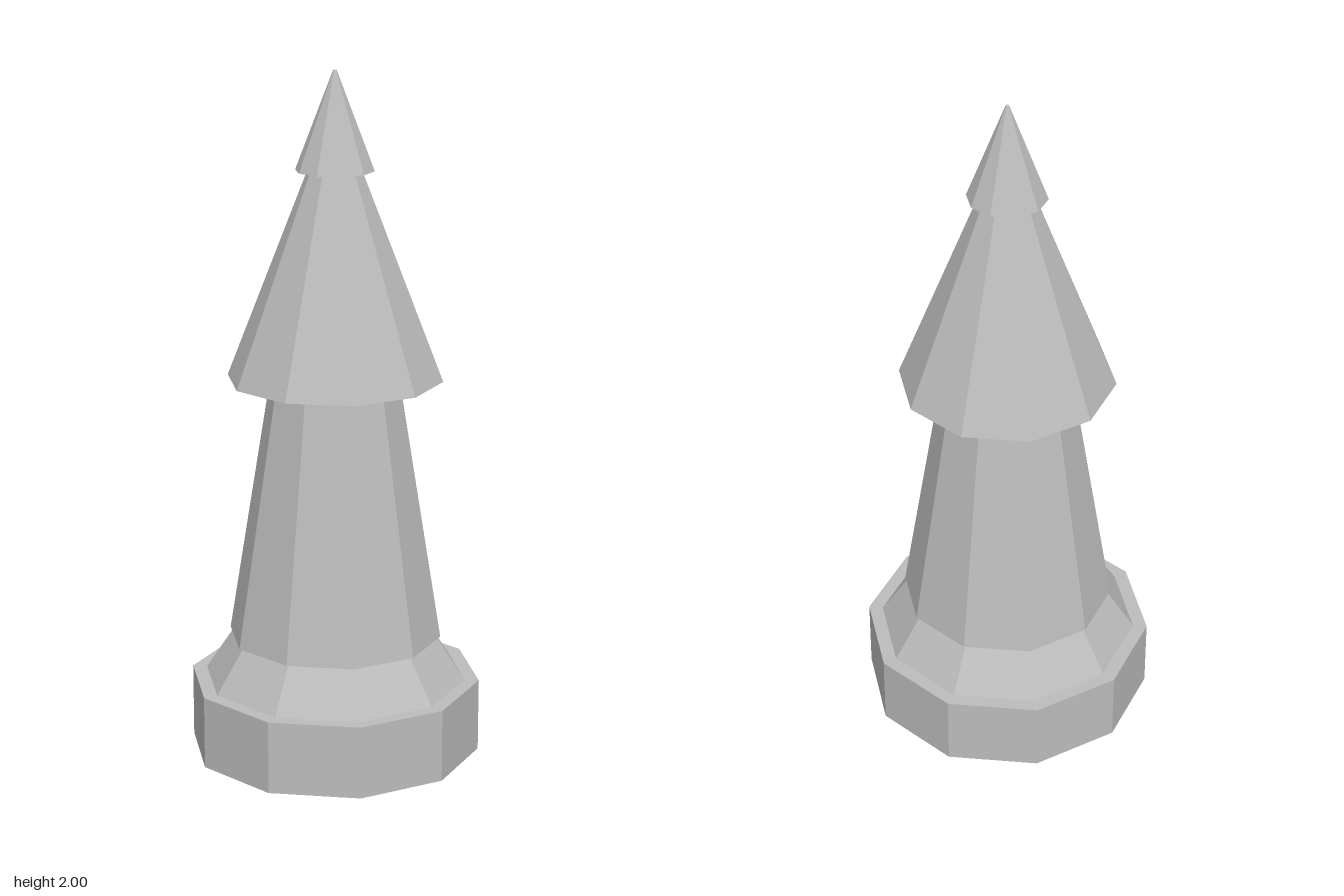
import * as THREE from 'three';

const SIDES = 10;

export function createModel() {
  const group = new THREE.Group();
  group.name = 'spireTower';
  const stone = new THREE.MeshStandardMaterial({ color: 0xbcbcbc });
  stone.name = 'stone grey';

  // Ten-sided tapered section with corners on the x axis and crisp facets
  function section(name, bottomRadius, topRadius, y0, y1) {
    const cylinder = new THREE.CylinderGeometry(
      topRadius, bottomRadius, y1 - y0, SIDES, 1, false, Math.PI / 2);
    const geometry = cylinder.toNonIndexed();
    geometry.computeVertexNormals();
    const mesh = new THREE.Mesh(geometry, stone);
    mesh.name = name;
    mesh.position.y = (y0 + y1) / 2;
    group.add(mesh);
  }

  section('base', 0.427, 0.427, 0, 0.215);
  section('baseSlope', 0.385, 0.3, 0.215, 0.345);
  section('shaft', 0.312, 0.187, 0.345, 1.117);
  section('roof', 0.312, 0.078, 1.117, 1.718);
  section('roofTip', 0.113, 0.005, 1.718, 2);

  return group;
}
